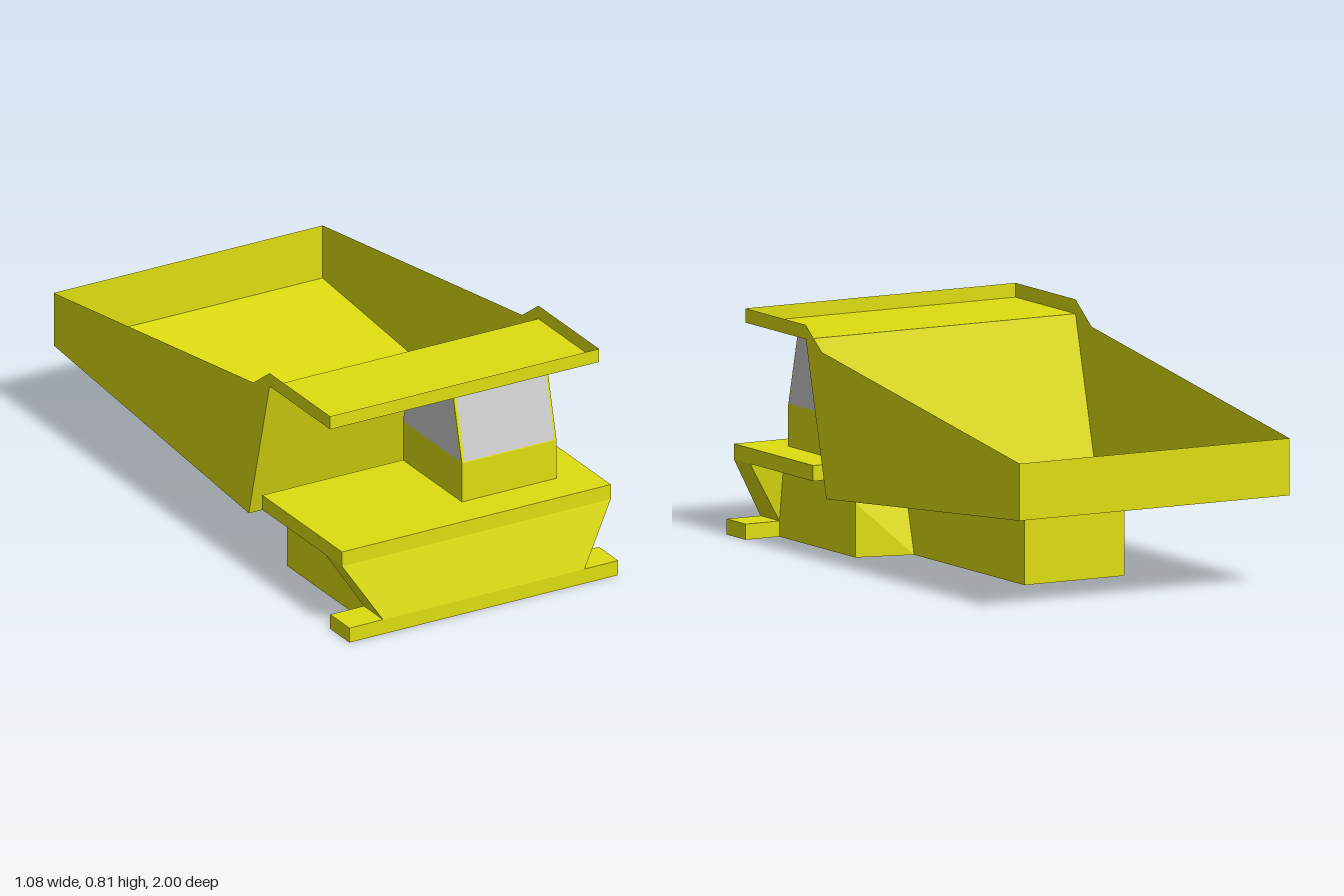
import * as THREE from 'three';
import { ConvexGeometry } from 'three/addons/geometries/ConvexGeometry.js';

const HALF_WIDTH = 0.54;

export function createModel() {
  const truck = new THREE.Group();
  truck.name = 'dumpTruck';
  const paint = new THREE.MeshStandardMaterial({ color: 0xdede10, flatShading: true });
  const sheet = new THREE.MeshStandardMaterial({ color: 0xdede10, flatShading: true, side: THREE.DoubleSide });
  const glass = new THREE.MeshStandardMaterial({ color: 0xcccccc, flatShading: true, side: THREE.DoubleSide });

  const add = (name, geometry, material = paint, parent = truck) => {
    const mesh = new THREE.Mesh(geometry, material);
    mesh.name = name;
    parent.add(mesh);
    return mesh;
  };
  const outline = (points) => new THREE.Shape(points.map(([z, y]) => new THREE.Vector2(z, y)));
  const hull = (points) => new ConvexGeometry(points.map((p) => new THREE.Vector3(...p)));

  // Side profile of [z, y] points, made solid between x0 and x1
  const profile = (points, x0, x1) =>
    new THREE.ExtrudeGeometry(outline(points), { depth: x1 - x0, bevelEnabled: false })
      .rotateY(-Math.PI / 2)
      .translate(x1, 0, 0);

  // Box given by its limits
  const block = (x0, x1, y0, y1, z0, z1) =>
    new THREE.BoxGeometry(x1 - x0, y1 - y0, z1 - z0)
      .translate((x0 + x1) / 2, (y0 + y1) / 2, (z0 + z1) / 2);

  // Flat sheet through four corners
  const quad = (corners) => {
    const geometry = new THREE.BufferGeometry();
    geometry.setAttribute('position', new THREE.Float32BufferAttribute(corners.flat(), 3));
    geometry.setIndex([0, 1, 2, 0, 2, 3]);
    geometry.computeVertexNormals();
    return geometry;
  };

  // Chassis: wide engine body and narrow rear frame
  add('engineBody', profile([[0.87, 0], [0.87, 0.27], [0.41, 0.27], [0.35, 0.19], [0.35, 0]], -0.405, 0.405));
  add('rearFrame', profile([[0.35, 0], [0.35, 0.19], [-0.455, 0.23], [-0.455, 0]], -0.2, 0.2));
  for (const s of [-1, 1]) {
    add(s > 0 ? 'leftGusset' : 'rightGusset', hull([
      [s * 0.405, 0, 0.35], [s * 0.405, 0.19, 0.35], [s * 0.2, 0.19, 0.35],
      [s * 0.2, 0, 0.35], [s * 0.2, 0, 0.3],
    ]));
  }

  // Front end: bumper, flared nose and deck
  add('bumper', block(-HALF_WIDTH, HALF_WIDTH, 0, 0.055, 0.87, 1));
  add('nose', hull([-1, 1].flatMap((s) => [
    [s * HALF_WIDTH, 0.27, 0.95], [s * HALF_WIDTH, 0.27, 0.84],
    [s * 0.405, 0.055, 1], [s * 0.405, 0.055, 0.87],
  ])));
  add('deck', block(-HALF_WIDTH, HALF_WIDTH, 0.27, 0.325, 0.41, 0.95));

  // Cab on the left of the deck
  const cab = new THREE.Group();
  cab.name = 'cab';
  truck.add(cab);
  const [cx0, cx1] = [0.025, 0.405];
  add('cabShell', profile([
    [0.81, 0.325], [0.81, 0.47], [0.745, 0.73], [0.475, 0.73], [0.41, 0.47], [0.41, 0.325],
  ], cx0, cx1), paint, cab);

  // Windows lie just outside the cab shell
  const gap = 0.002;
  const low = 0.475, high = 0.718;
  for (const [name, zLow, zHigh] of [
    ['windscreen', 0.809 + gap, 0.748 + gap],
    ['rearWindow', 0.411 - gap, 0.472 - gap],
  ]) {
    add(name, quad([
      [cx0 + 0.01, low, zLow], [cx1 - 0.01, low, zLow],
      [cx1 - 0.01, high, zHigh], [cx0 + 0.01, high, zHigh],
    ]), glass, cab);
  }
  for (const [name, x] of [['leftWindow', cx1 + gap], ['rightWindow', cx0 - gap]]) {
    add(name, quad([
      [x, low, 0.8], [x, low, 0.417], [x, 0.725, 0.479], [x, 0.725, 0.741],
    ]), glass, cab);
  }

  // Dump bed: one folded sheet running from tail to canopy lip, closed by two sides
  const bed = new THREE.Group();
  bed.name = 'dumpBed';
  truck.add(bed);
  const fold = [[-1, 0.53], [-1, 0.33], [0.32, 0.22], [0.46, 0.76], [0.87, 0.76], [0.87, 0.81]];
  const panels = ['bedTail', 'bedFloor', 'bedFront', 'canopy', 'canopyLip'];
  panels.forEach((name, i) => {
    const [za, ya] = fold[i];
    const [zb, yb] = fold[i + 1];
    add(name, quad([
      [-HALF_WIDTH, ya, za], [-HALF_WIDTH, yb, zb], [HALF_WIDTH, yb, zb], [HALF_WIDTH, ya, za],
    ]), sheet, bed);
  });
  const side = [...fold, [0.46, 0.81], [0.35, 0.73]];
  for (const s of [-1, 1]) {
    add(s > 0 ? 'bedLeftSide' : 'bedRightSide',
      new THREE.ShapeGeometry(outline(side)).rotateY(-Math.PI / 2).translate(s * HALF_WIDTH, 0, 0),
      sheet, bed);
  }

  return truck;
}
